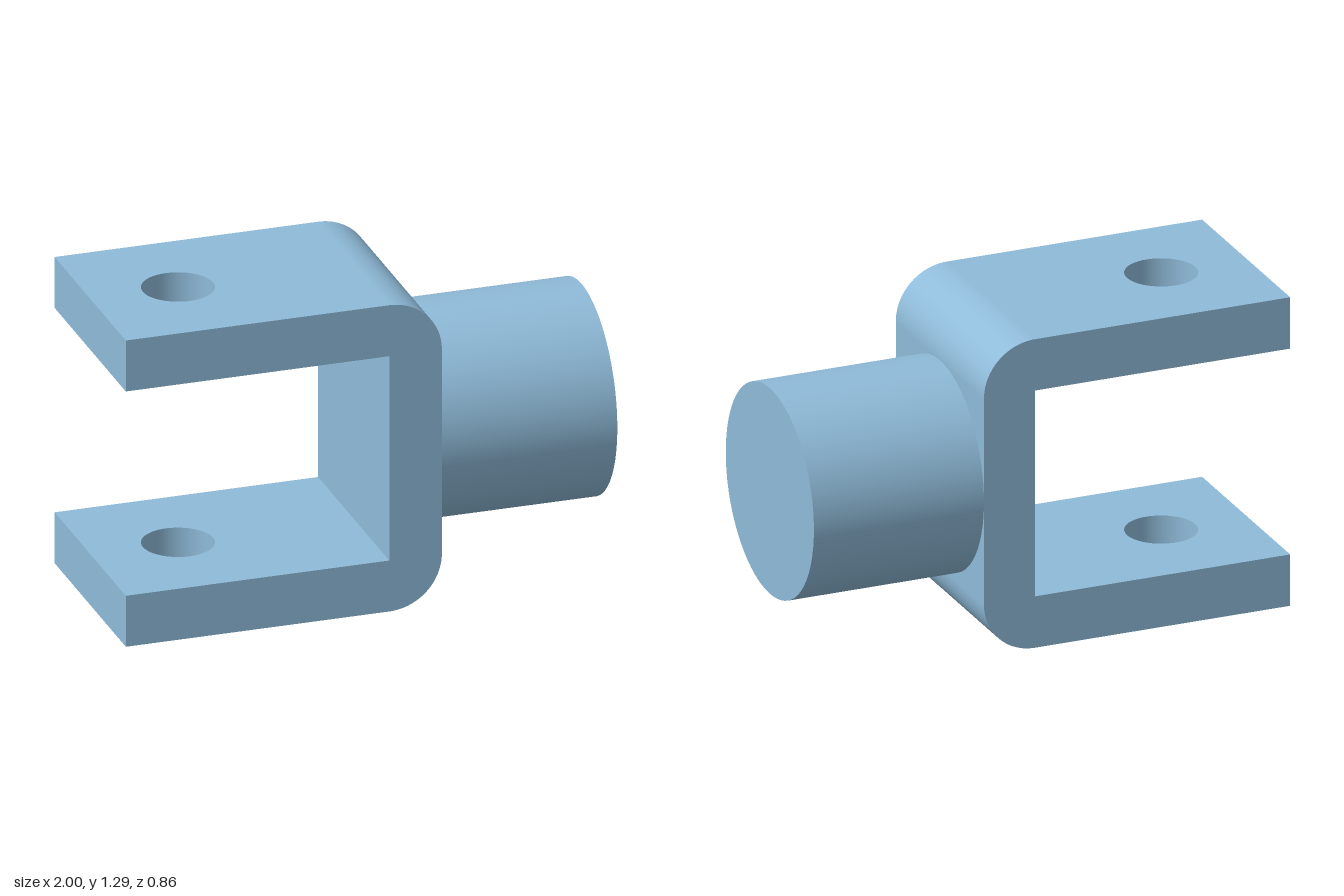
import * as THREE from 'three';

const H = 1.286, W = 0.857, T = 0.214;         // bracket height, depth, plate thickness
const X0 = -1, XI = 0.072, XO = XI + T;        // arm tip, inner and outer web faces
const HOLE_X = -0.643, HOLE_R = 0.143, BOSS_R = W / 2;
const h = H / 2, inner = h - T, SEG = 24;

export function createModel() {
  const group = new THREE.Group();
  const material = new THREE.MeshStandardMaterial({ color: 0x8fbbd9 });
  const boreMaterial = new THREE.MeshStandardMaterial({ color: 0x8fbbd9, side: THREE.DoubleSide });

  const add = (name, geometry, x = 0, y = 0, z = 0, mat = material) => {
    const mesh = new THREE.Mesh(geometry, mat);
    mesh.name = name;
    mesh.position.set(x, y, z);
    group.add(mesh);
  };

  // U-shaped side faces: rounded outside corners, square inside corners
  const profile = new THREE.Shape();
  profile.moveTo(X0, -h);
  profile.lineTo(XI, -h);
  profile.absarc(XI, -inner, T, -Math.PI / 2, 0, false);
  profile.lineTo(XO, inner);
  profile.absarc(XI, inner, T, 0, Math.PI / 2, false);
  profile.lineTo(X0, h);
  profile.lineTo(X0, inner);
  profile.lineTo(XI, inner);
  profile.lineTo(XI, -inner);
  profile.lineTo(X0, -inner);
  profile.closePath();
  add('frontSide', new THREE.ShapeGeometry(profile, SEG), 0, 0, W / 2);
  add('backSide', new THREE.ShapeGeometry(profile, SEG).rotateX(Math.PI), 0, 0, -W / 2);

  // Drilled arm faces
  const plate = new THREE.Shape();
  plate.moveTo(X0, -W / 2);
  plate.lineTo(XI, -W / 2);
  plate.lineTo(XI, W / 2);
  plate.lineTo(X0, W / 2);
  plate.closePath();
  const hole = new THREE.Path();
  hole.absarc(HOLE_X, 0, HOLE_R, 0, Math.PI * 2, true);
  plate.holes.push(hole);
  const armFace = (name, y, up) =>
    add(name, new THREE.ShapeGeometry(plate, SEG).rotateX(up * -Math.PI / 2), 0, y);

  for (const s of [1, -1]) {
    const arm = s > 0 ? 'upperArm' : 'lowerArm';
    armFace(arm + 'Outside', s * h, s);
    armFace(arm + 'Inside', s * inner, -s);
    // Arm tip, pin bore and rounded outer bend
    add(arm + 'Tip', new THREE.PlaneGeometry(W, T).rotateY(-Math.PI / 2), X0, s * (h - T / 2));
    add(arm + 'Bore', new THREE.CylinderGeometry(HOLE_R, HOLE_R, T, SEG * 2, 1, true),
      HOLE_X, s * (h - T / 2), 0, boreMaterial);
    const bend = new THREE.CylinderGeometry(T, T, W, SEG * 2, 1, true, s > 0 ? Math.PI / 2 : 0, Math.PI / 2);
    add(arm + 'Bend', bend.rotateX(Math.PI / 2), XI, s * inner);
  }

  // Web faces between the arms
  add('webInside', new THREE.PlaneGeometry(W, 2 * inner).rotateY(-Math.PI / 2), XI);
  add('webOutside', new THREE.PlaneGeometry(W, 2 * inner).rotateY(Math.PI / 2), XO);

  // Solid round shank
  const length = 1 - XO;
  add('shank', new THREE.CylinderGeometry(BOSS_R, BOSS_R, length, 72, 1, true).rotateZ(-Math.PI / 2), XO + length / 2);
  add('shankEnd', new THREE.CircleGeometry(BOSS_R, 72).rotateY(Math.PI / 2), 1);

  // Stand the bracket on the ground
  group.children.forEach((mesh) => { mesh.position.y += h; });
  return group;
}
